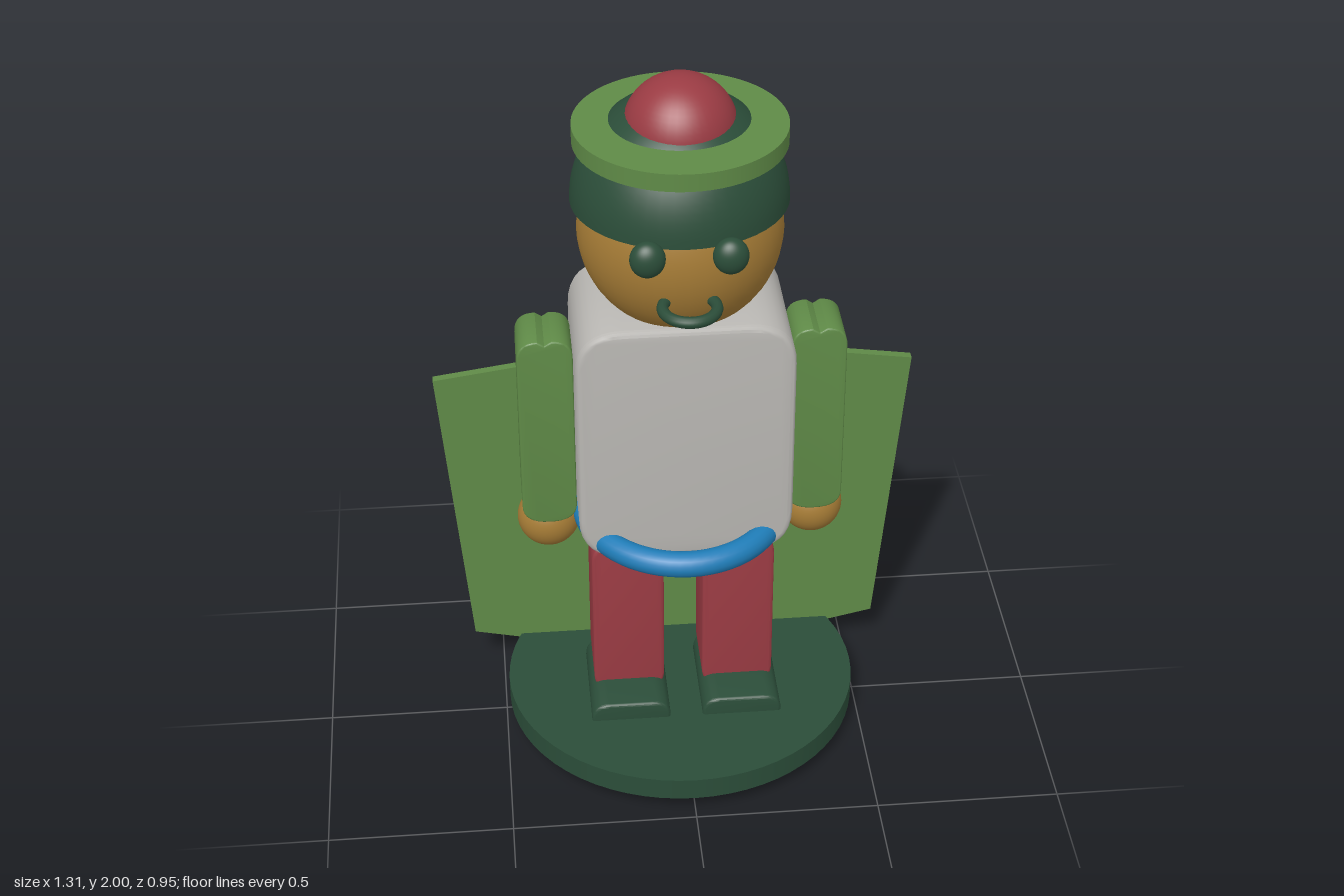
import * as THREE from 'three';
import { toCreasedNormals } from 'three/addons/utils/BufferGeometryUtils.js';

const mat = (name, color) => new THREE.MeshStandardMaterial({ name, color });

// Rounded rectangle outline, centred
function roundedRect(w, h, r) {
  const s = new THREE.Shape(), x = w / 2, y = h / 2;
  s.moveTo(-x + r, -y);
  s.lineTo(x - r, -y).quadraticCurveTo(x, -y, x, -y + r);
  s.lineTo(x, y - r).quadraticCurveTo(x, y, x - r, y);
  s.lineTo(-x + r, y).quadraticCurveTo(-x, y, -x, y - r);
  s.lineTo(-x, -y + r).quadraticCurveTo(-x, -y, -x + r, -y);
  return s;
}

// Arm outline: round lower end, two bumps with a small notch on top
function armShape(w, h) {
  const s = new THREE.Shape(), x = w / 2, y = h / 2, r = 0.055, g = 0.018, n = 0.012;
  s.moveTo(0, -y);
  s.quadraticCurveTo(x, -y, x, -y + r);
  s.lineTo(x, y - r);
  s.quadraticCurveTo(x, y, g, y);
  s.lineTo(0, y - n);
  s.lineTo(-g, y);
  s.quadraticCurveTo(-x, y, -x, y - r);
  s.lineTo(-x, -y + r);
  s.quadraticCurveTo(-x, -y, 0, -y);
  return s;
}

// Extrude a shape along z, centred, with a small bevel inside the outline
function slab(shape, depth, bevel) {
  const geo = new THREE.ExtrudeGeometry(shape, {
    depth: depth - 2 * bevel, curveSegments: 8, bevelEnabled: bevel > 0,
    bevelThickness: bevel, bevelSize: bevel, bevelOffset: -bevel, bevelSegments: 3,
  });
  geo.translate(0, 0, -depth / 2 + bevel);
  return toCreasedNormals(geo, 0.6);
}

// Give faces that point backwards the second material
function splitBack(geo) {
  const out = geo.index ? geo.toNonIndexed() : geo;
  const normal = out.attributes.normal;
  out.clearGroups();
  for (let i = 0; i < normal.count; i += 3) {
    const nz = (normal.getZ(i) + normal.getZ(i + 1) + normal.getZ(i + 2)) / 3;
    out.addGroup(i, 3, nz < -0.5 ? 1 : 0);
  }
  return out;
}

export function createModel() {
  const model = new THREE.Group();
  model.name = 'toyFigure';
  const darkGreen = mat('darkGreen', 0x2b4d39);
  const green = mat('leafGreen', 0x5f8a47);
  const olive = mat('deepOlive', 0x425e2e);
  const grey = mat('lightGrey', 0xb8b6b2);
  const red = mat('red', 0x9a3b43);
  const skin = mat('ochre', 0xa67c36);
  const blue = mat('blue', 0x1f7db8);
  const twoGreens = [green, olive];

  function add(name, geo, material, x = 0, y = 0, z = 0) {
    const m = new THREE.Mesh(geo, material);
    m.name = name;
    m.position.set(x, y, z);
    model.add(m);
    return m;
  }
  const ball = (rx, ry, rz) => new THREE.SphereGeometry(1, 40, 28).scale(rx, ry, rz);

  // Round stand
  add('base', new THREE.CylinderGeometry(0.489, 0.489, 0.065, 64).scale(1, 1, 0.973), darkGreen, 0, 0.08, 0);

  // Pointed panel behind the back
  const panel = new THREE.Shape([[0, 0], [0.58, 0.13], [0.657, 1.01], [0, 1.105], [-0.657, 1.01], [-0.58, 0.13]]
    .map(([x, y]) => new THREE.Vector2(x, y)));
  add('backPanel', splitBack(slab(panel, 0.024, 0)), twoGreens, 0, 0, -0.205);

  // Torso and belt
  add('torso', slab(roundedRect(0.57, 0.715, 0.125), 0.375, 0.015), grey, 0, 1.02, 0);
  const belt = new THREE.TorusGeometry(0.288, 0.035, 16, 64).rotateX(Math.PI / 2).scale(0.92, 1, 1);
  add('belt', belt, blue, 0, 0.71, 0);

  // Limbs and eyes
  for (const [side, s] of [['left', 1], ['right', -1]]) {
    add(side + 'Leg', slab(roundedRect(0.197, 0.52, 0.06), 0.195, 0.008), red, s * 0.152, 0.38, 0);
    add(side + 'Shoe', slab(roundedRect(0.22, 0.1, 0.05), 0.3, 0.008), darkGreen, s * 0.155, 0.115, 0.06);
    add(side + 'Arm', splitBack(slab(armShape(0.146, 0.577), 0.152, 0.004)), twoGreens, s * 0.3585, 1.002, 0);
    add(side + 'Hand', ball(0.085, 0.085, 0.081), skin, s * 0.36, 0.685, 0);
    add(side + 'Eye', ball(0.045, 0.049, 0.035), darkGreen, s * 0.103, 1.63, 0.25);
  }

  // Head, with a curved mouth whose ends meet the face
  add('head', ball(0.265, 0.275, 0.257), skin, 0, 1.583, 0);
  const arc = 4.2;
  const mouth = new THREE.TorusGeometry(0.068, 0.015, 12, 36, arc)
    .rotateZ((Math.PI - arc) / 2).rotateX(Math.PI / 2);
  add('mouth', mouth, darkGreen, 0, 1.495, 0.267);

  // Dome of hair, closed underneath
  const dome = [new THREE.Vector2(0.2, 0)];
  for (let i = 0; i <= 20; i++) {
    const a = (i / 20) * Math.PI / 2;
    dome.push(new THREE.Vector2(Math.max(0.0001, 0.28 * Math.cos(a)), 0.287 * Math.sin(a)));
  }
  const hair = toCreasedNormals(new THREE.LatheGeometry(dome, 48).scale(1, 1, 0.965), 0.6);
  add('hair', hair, darkGreen, 0, 1.655, -0.016);

  // Hat brim and crown
  add('hatBrim', splitBack(new THREE.CylinderGeometry(0.272, 0.272, 0.048, 64)), twoGreens, 0, 1.852, 0.003);
  add('hatCrown', ball(0.145, 0.14, 0.145), red, 0, 1.86, 0.003);

  return model;
}
